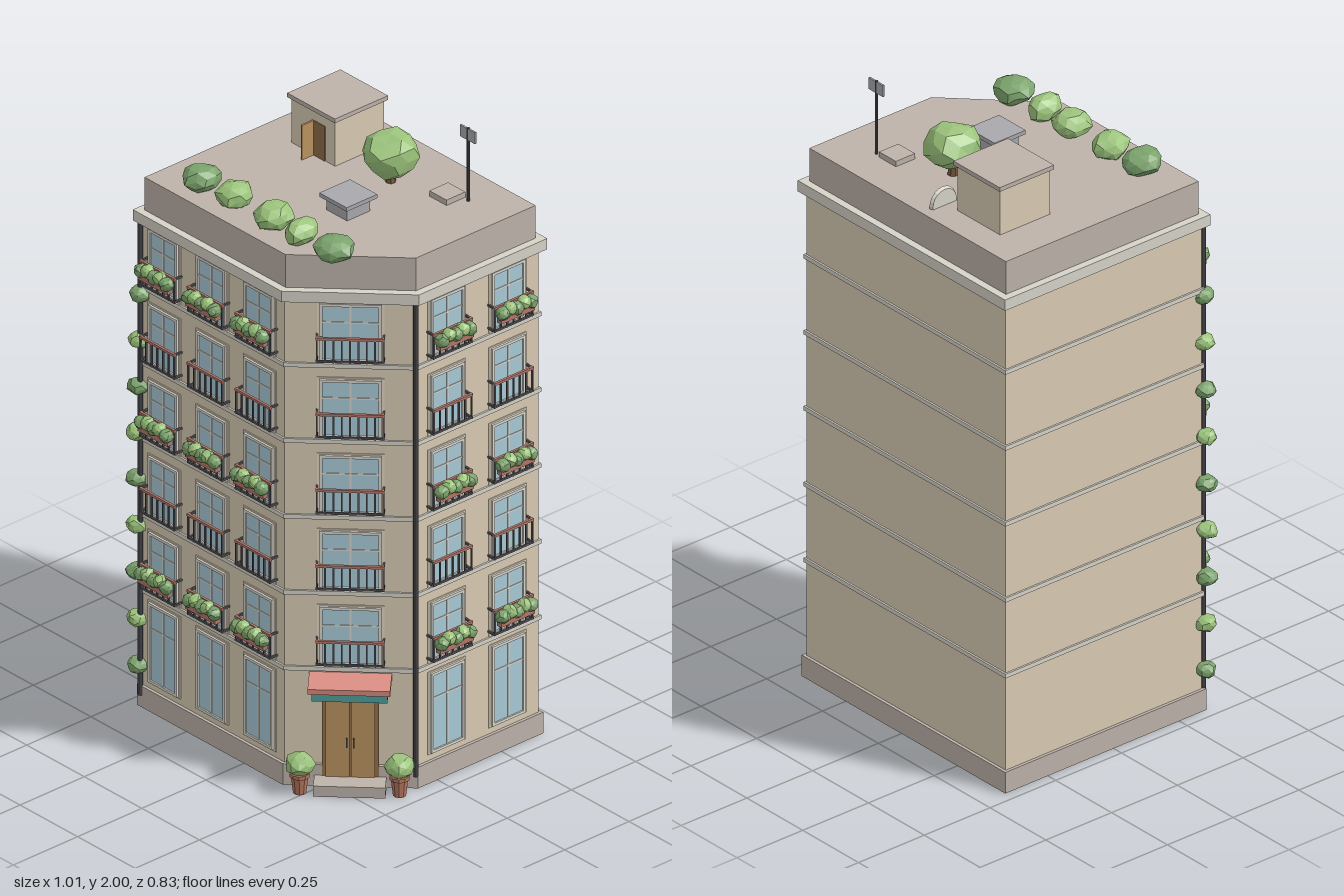
import * as THREE from 'three';

const mat = (color) => new THREE.MeshStandardMaterial({ color, flatShading: true });
const M = {
  wall: mat(0xdaccb4), surround: mat(0xe2d6c0), stone: mat(0xbdb2aa), cornice: mat(0xd6d3c8),
  glass: mat(0xa9cbd8), frame: mat(0xd9d6cc), iron: mat(0x55555a), rail: mat(0xb5776a),
  leaf: mat(0x9cc47c), leafDark: mat(0x7ba36c), door: mat(0xb9935f), doorDark: mat(0x8f6f4a),
  salmon: mat(0xdb8f84), teal: mat(0x4f9e9a), pot: mat(0xb87860), grey: mat(0xa9a9ad), trunk: mat(0x7a5a40),
};

function add(parent, name, geometry, material, x = 0, y = 0, z = 0) {
  const m = new THREE.Mesh(geometry, material);
  m.name = name;
  m.position.set(x, y, z);
  parent.add(m);
  return m;
}
const box = (p, name, material, w, h, d, x, y, z) =>
  add(p, name, new THREE.BoxGeometry(w, h, d), material, x, y, z);
const rod = (p, name, material, r, h, x, y, z, n = 8, rTop = r) =>
  add(p, name, new THREE.CylinderGeometry(rTop, r, h, n), material, x, y, z);

// Faceted foliage: an icosphere with each corner pushed in or out by a hash
let seed = 0;
function bush(p, name, x, y, z, rx, ry = rx, rz = rx, material = M.leaf, detail = 1) {
  const g = new THREE.IcosahedronGeometry(1, detail), a = g.attributes.position;
  const v = new THREE.Vector3(), s = ++seed;
  for (let i = 0; i < a.count; i++) {
    v.fromBufferAttribute(a, i);
    const q = [v.x, v.y, v.z].map((c) => Math.round(c * 100));
    const h = Math.sin(q[0] * 1.27 + q[1] * 3.11 + q[2] * 7.47 + s * 2.3) * 437.58;
    v.multiplyScalar(0.86 + 0.2 * (h - Math.floor(h)));
    a.setXYZ(i, v.x * rx, v.y * ry, v.z * rz);
  }
  g.computeVertexNormals();
  return add(p, name, g, material, x, y, z);
}

// Floor plan with one chamfered corner, grown by d and extruded upwards
function prism(p, name, material, d, y0, y1) {
  const l = -0.455 - d, r = 0.437 + d, b = -0.402 - d, f = 0.343 + d, c = 0.508 + 1.414 * d;
  const pts = [[l, b], [r, b], [r, c - r], [c - f, f], [l, f]];
  const shape = new THREE.Shape(pts.map(([x, z]) => new THREE.Vector2(x, -z)));
  const g = new THREE.ExtrudeGeometry(shape, { depth: y1 - y0, bevelEnabled: false });
  g.rotateX(-Math.PI / 2);
  return add(p, name, g, material, 0, y0, 0);
}

// Window in a facade's own frame: wall at z = 0, outwards +z
function windowUnit(p, x, y0, w, h) {
  const g = new THREE.Group();
  g.name = 'window';
  g.position.set(x, y0 + h / 2, 0);
  p.add(g);
  const t = 0.009;
  box(g, 'windowSurround', M.surround, w + 0.016, h + 0.01, 0.004, 0, 0, 0.001);
  box(g, 'glass', M.glass, w - t, h - t, 0.004, 0, 0, 0.003);
  for (const s of [-1, 1]) {
    box(g, 'windowJamb', M.frame, t, h, 0.01, s * (w - t) / 2, 0, 0.005);
    box(g, 'windowRail', M.frame, w, t, 0.01, 0, s * (h - t) / 2, 0.005);
  }
  box(g, 'mullion', M.frame, 0.006, h, 0.006, 0, 0, 0.004);
  box(g, 'transom', M.frame, w, 0.005, 0.006, 0, h * 0.18, 0.004);
}

function balcony(p, x, y, w, flowers) {
  const g = new THREE.Group();
  g.name = 'balcony';
  g.position.set(x, y, 0);
  p.add(g);
  const z = 0.028, h = 0.08, n = Math.round(w / 0.026);
  box(g, 'topRail', M.rail, w, 0.008, 0.008, 0, h, z);
  box(g, 'bottomRail', M.iron, w, 0.006, 0.006, 0, 0.004, z);
  for (let i = 0; i <= n; i++)
    box(g, 'baluster', M.iron, 0.005, h, 0.005, (i / n - 0.5) * (w - 0.006), h / 2, z);
  for (const s of [-1, 1]) for (const yy of [0.004, h])
    box(g, 'sideRail', M.iron, 0.006, 0.006, z, s * (w / 2 - 0.003), yy, z / 2);
  if (!flowers) return;
  box(g, 'flowerBox', M.rail, w * 0.85, 0.018, 0.02, 0, 0.04, z + 0.01);
  for (let i = 0; i < 5; i++)
    bush(g, 'flowers', (i - 2) * 0.027, 0.062 + (i % 2) * 0.008, z + 0.014,
      0.023, 0.022, 0.024, i % 2 ? M.leaf : M.leafDark);
}

export function createModel() {
  const root = new THREE.Group();
  root.name = 'cornerApartmentBuilding';
  const floorY = (i) => 0.3875 + 0.2525 * (i - 1);

  // Main masses
  prism(root, 'base', M.stone, 0.01, 0, 0.07);
  prism(root, 'walls', M.wall, 0, 0.07, 1.62);
  for (let i = 1; i <= 5; i++) prism(root, 'floorBand', M.cornice, 0.006, floorY(i) - 0.008, floorY(i) + 0.006);
  prism(root, 'cornice', M.cornice, 0.018, 1.612, 1.648);
  prism(root, 'roofBlock', M.stone, -0.006, 1.648, 1.757);

  // Three street facades, each with its own bays
  const facades = [
    { name: 'frontFacade', pos: [0, 0.343], turn: 0, bays: [-0.355, -0.147, 0.06], w: 0.125 },
    { name: 'sideFacade', pos: [0.437, 0], turn: Math.PI / 2, bays: [0.043, 0.28], w: 0.13 },
    { name: 'cornerFacade', pos: [0.301, 0.207], turn: Math.PI / 4, bays: [0], w: 0.18 },
  ];
  for (const f of facades) {
    const g = new THREE.Group();
    g.name = f.name;
    g.position.set(f.pos[0], 0, f.pos[1]);
    g.rotation.y = f.turn;
    root.add(g);
    const corner = f.bays.length === 1;
    for (const x of f.bays) {
      if (!corner) windowUnit(g, x, 0.095, f.w, 0.265);
      for (let i = 1; i <= 5; i++) {
        windowUnit(g, x, floorY(i) + 0.012, f.w, 0.195);
        balcony(g, x, floorY(i) + 0.022, corner ? 0.2 : 0.153, !corner && i % 2 === 1);
      }
    }
    if (corner) entrance(g);
  }

  // Rain pipes, the left one overgrown
  rod(root, 'rainPipe', M.iron, 0.008, 1.57, -0.45, 0.825, 0.353);
  rod(root, 'rainPipe', M.iron, 0.008, 1.57, 0.442, 0.825, 0.079);
  for (let i = 0; i < 9; i++)
    bush(root, 'vine', -0.46 - 0.012 * Math.sin(i * 0.4 + 0.4) + 0.004, 0.135 + i * 0.155, 0.352,
      0.034, 0.027, 0.034, i % 2 ? M.leaf : M.leafDark);

  roof(root);
  return root;
}

// Doorway, steps, awning and potted shrubs
function entrance(g) {
  box(g, 'doorFrame', M.doorDark, 0.165, 0.275, 0.012, 0, 0.168, 0.006);
  for (const s of [-1, 1]) {
    box(g, 'doorLeaf', M.door, 0.07, 0.255, 0.012, s * 0.037, 0.16, 0.01);
    box(g, 'doorHandle', M.iron, 0.005, 0.03, 0.008, s * 0.01, 0.15, 0.019);
    rod(g, 'pot', M.pot, 0.02, 0.06, s * 0.145, 0.03, 0.05, 10, 0.027);
    rod(g, 'potRim', M.pot, 0.03, 0.012, s * 0.145, 0.06, 0.05, 10);
    bush(g, 'pottedShrub', s * 0.145, 0.095, 0.05, 0.045, 0.037, 0.045, M.leaf);
  }
  box(g, 'doorStep', M.stone, 0.21, 0.035, 0.075, 0, 0.0175, 0.0375);
  const awning = box(g, 'awning', M.salmon, 0.24, 0.018, 0.094, 0, 0.362, 0.047);
  awning.rotation.x = 0.08;
  box(g, 'valance', M.teal, 0.22, 0.045, 0.06, 0, 0.332, 0.032);
}

function roof(root) {
  const y = 1.757;
  // Stair house with its door standing open
  box(root, 'stairHouse', M.wall, 0.19, 0.15, 0.19, -0.223, y + 0.075, -0.212);
  box(root, 'stairHouseLid', M.stone, 0.207, 0.014, 0.207, -0.223, y + 0.157, -0.212);
  box(root, 'stairDoorway', M.doorDark, 0.05, 0.115, 0.004, -0.195, y + 0.0575, -0.116);
  box(root, 'stairDoor', M.door, 0.006, 0.115, 0.045, -0.222, y + 0.0575, -0.093);

  // Vent and hatch
  box(root, 'vent', M.grey, 0.09, 0.045, 0.09, 0.09, y + 0.022, 0.027);
  box(root, 'ventLid', M.grey, 0.119, 0.013, 0.119, 0.09, y + 0.049, 0.027);
  box(root, 'hatch', M.stone, 0.075, 0.018, 0.073, 0.222, y + 0.009, -0.24);

  // Mast with panel
  rod(root, 'mast', M.iron, 0.005, 0.243, 0.28, y + 0.1215, -0.269);
  box(root, 'mastPanel', M.grey, 0.065, 0.038, 0.006, 0.28, 1.979, -0.269);

  // Dish
  const dish = rod(root, 'dish', M.cornice, 0.05, 0.01, -0.075, y + 0.008, -0.315, 20, 0.045);
  dish.rotation.z = Math.PI / 2;

  // Tree and a row of shrubs along the front
  rod(root, 'treeTrunk', M.trunk, 0.016, 0.07, 0.045, y + 0.035, -0.178, 7, 0.012);
  bush(root, 'treeCrown', 0.045, 1.85, -0.178, 0.087, 0.072, 0.094);
  const shrubs = [[-0.294, 0.255, 0.06], [-0.16, 0.247, 0.058], [0.01, 0.245, 0.06], [0.133, 0.247, 0.045], [0.27, 0.243, 0.068]];
  shrubs.forEach(([x, z, r], i) =>
    bush(root, 'roofShrub', x, 1.788, z, r, 0.043, 0.062, i % 4 ? M.leaf : M.leafDark));
}
